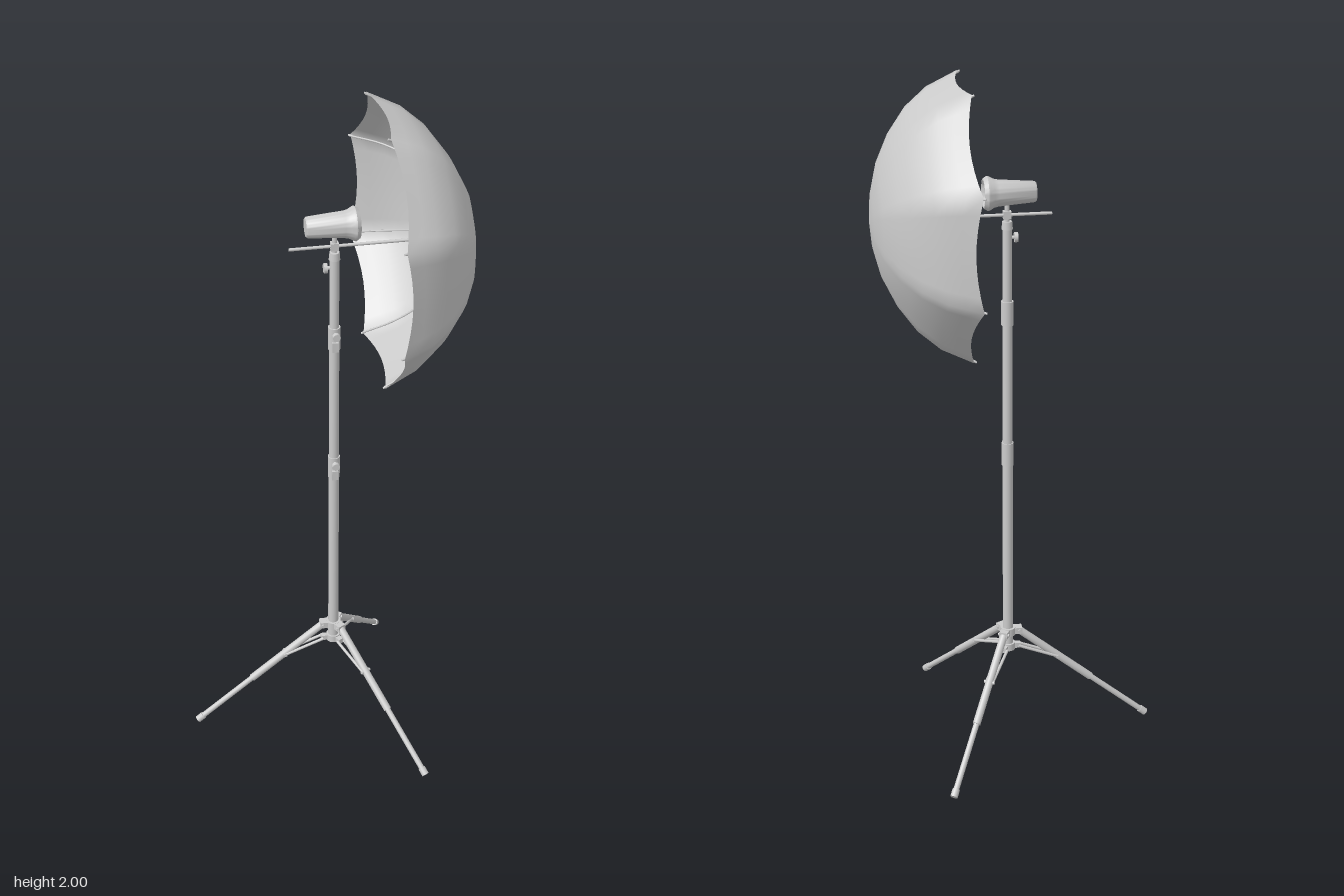
import * as THREE from 'three';
import { toCreasedNormals } from 'three/addons/utils/BufferGeometryUtils.js';

const grey = new THREE.MeshStandardMaterial({ color: 0xcccccc });
const cloth = new THREE.MeshStandardMaterial({ color: 0xcccccc, side: THREE.DoubleSide });
const V = (x, y, z = 0) => new THREE.Vector3(x, y, z);
const POLE_X = 0.03, AXIS_Y = 1.63, PANELS = 8;

function add(parent, name, geometry, material = grey) {
  const mesh = new THREE.Mesh(geometry, material);
  mesh.name = name;
  parent.add(mesh);
  return mesh;
}

// Round bar between two points
function rod(parent, name, a, b, r0, r1 = r0, sides = 16) {
  const dir = b.clone().sub(a);
  const mesh = add(parent, name, new THREE.CylinderGeometry(r1, r0, dir.length(), sides));
  mesh.position.copy(a).add(b).multiplyScalar(0.5);
  mesh.quaternion.setFromUnitVectors(V(0, 1, 0), dir.normalize());
  return mesh;
}

function box(parent, name, w, h, d, x, y, z) {
  const mesh = add(parent, name, new THREE.BoxGeometry(w, h, d));
  mesh.position.set(x, y, z);
  return mesh;
}

// Rib profile from the apex to the rim: [x, radius]
const RIB = [[0.41, 0], [0.402, 0.08], [0.383, 0.157], [0.346, 0.236],
  [0.295, 0.307], [0.233, 0.36], [0.145, 0.402]];

function ribAt(t) {
  const f = t * (RIB.length - 1), i = Math.min(Math.floor(f), RIB.length - 2), k = f - i;
  return [0, 1].map((c) => RIB[i][c] + (RIB[i + 1][c] - RIB[i][c]) * k);
}

const around = (x, r, a) => V(x, AXIS_Y + r * Math.cos(a), r * Math.sin(a));
const ribAngle = (i) => ((i + 0.5) / PANELS) * Math.PI * 2;

// Cloth stretched between ribs: round at the apex, flat panels at the rim
function canopyGeometry() {
  const rings = 12, perPanel = 8, n = PANELS * perPanel, half = Math.PI / PANELS;
  const pos = [], idx = [];
  for (let j = 0; j <= rings; j++) {
    const t = j / rings, [x, r] = ribAt(t);
    for (let i = 0; i < n; i++) {
      const u = ((i % perPanel) / perPanel) * 2 - 1;
      const sag = 1 - u * u, flat = Math.min(1, t * 1.3);
      const chord = Math.cos(half) / Math.cos(u * half);
      const rr = r * (1 + (chord - 1) * flat) * (1 - 0.01 * sag * t ** 6);
      const p = around(x + 0.02 * sag * t ** 6, rr, ribAngle(0) + (i / n) * Math.PI * 2);
      pos.push(p.x, p.y, p.z);
      if (j < rings) {
        const a = j * n + i, b = j * n + ((i + 1) % n), c = a + n, d = b + n;
        if (j > 0) idx.push(a, d, b);
        idx.push(a, c, d);
      }
    }
  }
  const g = new THREE.BufferGeometry();
  g.setAttribute('position', new THREE.Float32BufferAttribute(pos, 3));
  g.setIndex(idx);
  g.computeVertexNormals();
  return g;
}

function umbrella() {
  const g = new THREE.Group();
  g.name = 'umbrella';
  add(g, 'canopy', canopyGeometry(), cloth);
  rod(g, 'shaft', V(-0.095, AXIS_Y), V(0.408, AXIS_Y), 0.0045);
  rod(g, 'runner', V(0.285, AXIS_Y), V(0.31, AXIS_Y), 0.01);
  rod(g, 'ribHub', V(0.385, AXIS_Y), V(0.402, AXIS_Y), 0.01);
  for (let i = 0; i < PANELS; i++) {
    const a = ribAngle(i);
    const path = new THREE.CatmullRomCurve3(RIB.map(([x, r]) => around(x - 0.004, r * 0.988, a)));
    add(g, 'rib', new THREE.TubeGeometry(path, 20, 0.0028, 6));
    rod(g, 'stretcher', around(0.298, 0.008, a), around(0.343, 0.23, a), 0.0028, 0.0028, 6);
    rod(g, 'ribTip', around(0.15, 0.395, a), around(0.138, 0.4, a), 0.003, 0.003, 8);
  }
  return g;
}

// Lamp head turned around the x axis, with a shallow dish in its mouth
function lamp() {
  const g = new THREE.Group();
  g.name = 'lamp';
  const profile = [[0, -0.05], [0.026, -0.05], [0.029, -0.046], [0.037, 0.055], [0.04, 0.068],
    [0.047, 0.08], [0.048, 0.085], [0.041, 0.096], [0.036, 0.096], [0.022, 0.082], [0, 0.076]]
    .map(([r, y]) => new THREE.Vector2(r, y));
  const head = add(g, 'lampHead', toCreasedNormals(new THREE.LatheGeometry(profile, 40), 0.7));
  head.rotation.z = -Math.PI / 2;
  head.position.y = 1.693;
  rod(g, 'lampStem', V(POLE_X, 1.6), V(POLE_X, 1.67), 0.007);
  box(g, 'shaftHolder', 0.022, 0.022, 0.02, POLE_X, AXIS_Y, 0);
  return g;
}

// Height lock: sleeve, split lug and thumb screw
function clamp(y) {
  const g = new THREE.Group();
  g.name = 'heightClamp';
  rod(g, 'sleeve', V(0, -0.035), V(0, 0.035), 0.0175, 0.0175, 24);
  box(g, 'lug', 0.018, 0.03, 0.016, 0, -0.02, 0.016);
  rod(g, 'screw', V(0, 0.02, 0.012), V(0, 0.02, 0.032), 0.005);
  rod(g, 'screwHead', V(0, 0.02, 0.028), V(0, 0.02, 0.04), 0.011);
  g.position.set(POLE_X, y, 0);
  return g;
}

function column() {
  const g = new THREE.Group();
  g.name = 'column';
  [[0.27, 0.92, 0.0155], [0.9, 1.34, 0.0145], [1.3, 1.6, 0.0135]].forEach(([y0, y1, r]) =>
    rod(g, 'poleSection', V(POLE_X, y0), V(POLE_X, y1), r, r, 24));
  g.add(clamp(0.915), clamp(1.345));
  rod(g, 'poleCap', V(POLE_X, 1.59), V(POLE_X, 1.612), 0.016, 0.014);
  rod(g, 'topScrew', V(0.02, 1.565), V(0.004, 1.565), 0.005);
  rod(g, 'topKnob', V(0.01, 1.565), V(0, 1.565), 0.014);
  rod(g, 'upperCollar', V(POLE_X, 0.322), V(POLE_X, 0.346), 0.023, 0.023, 24);
  rod(g, 'lowerCollar', V(POLE_X, 0.272), V(POLE_X, 0.294), 0.021, 0.021, 24);
  return g;
}

// One leg reaching out along +x, turned into place about the column
function leg(angle) {
  const g = new THREE.Group();
  g.name = 'leg';
  const top = V(0.032, 0.334), foot = V(0.43, 0.0086);
  const at = (k) => top.clone().lerp(foot, k);
  rod(g, 'outerTube', top, at(0.56), 0.0115);
  rod(g, 'innerTube', at(0.5), at(0.98), 0.0085);
  rod(g, 'footCap', at(0.955), foot, 0.011);
  box(g, 'upperHinge', 0.03, 0.02, 0.026, 0.027, 0.335, 0);
  rod(g, 'hingePin', V(0.034, 0.335, -0.017), V(0.034, 0.335, 0.017), 0.005);
  box(g, 'lowerHinge', 0.026, 0.016, 0.016, 0.025, 0.283, 0);
  for (const z of [-0.01, 0.01]) {
    rod(g, 'brace', V(0.032, 0.283, z), at(0.3).setZ(z), 0.0045, 0.0045, 10);
  }
  const p = at(0.3);
  rod(g, 'bracePin', V(p.x, p.y, -0.016), V(p.x, p.y, 0.016), 0.005);
  g.position.x = POLE_X;
  g.rotation.y = angle;
  return g;
}

export function createModel() {
  const model = new THREE.Group();
  model.name = 'umbrellaLightStand';
  model.add(column(), lamp(), umbrella());
  for (const angle of [Math.PI, Math.PI / 3, -Math.PI / 3]) model.add(leg(angle));
  return model;
}
